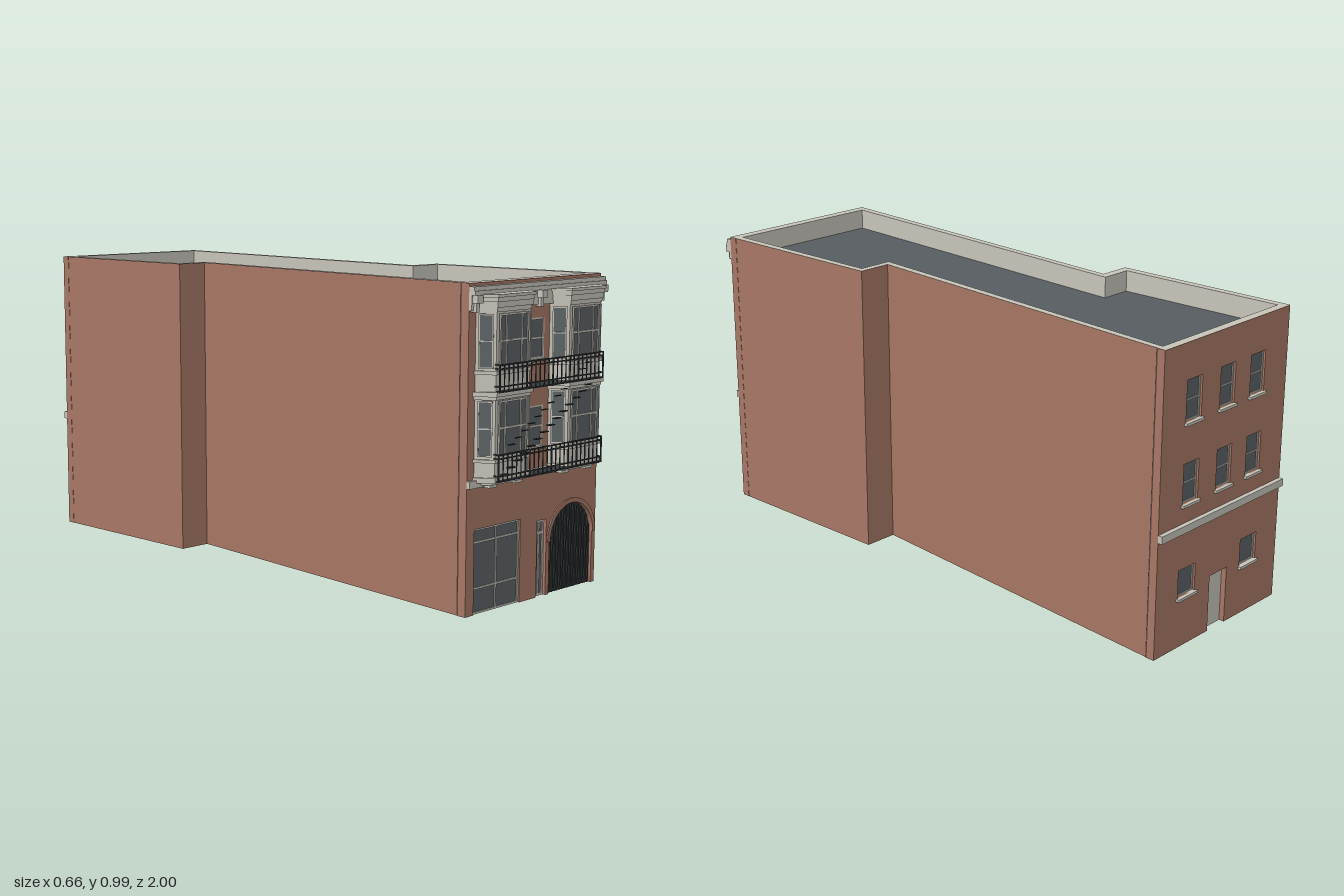
import * as THREE from 'three';

const mat = (name, color, side = THREE.FrontSide) => {
  const m = new THREE.MeshStandardMaterial({ color, side });
  m.name = name;
  return m;
};

export function createModel() {
  const brick = mat('brick', 0xa67664);
  const trim = mat('pale stone', 0xc6c3b9);
  const liner = mat('plaster', 0xc6c3b9, THREE.DoubleSide);
  const glass = mat('glass', 0x5b6164);
  const roofing = mat('roofing', 0x565c5f);
  const iron = mat('iron', 0x34383a);

  const model = new THREE.Group();
  model.name = 'rowBuilding';
  const group = (name, parent = model) => {
    const g = new THREE.Group();
    g.name = name;
    parent.add(g);
    return g;
  };
  const add = (name, geo, m, parent = model) => {
    const mesh = new THREE.Mesh(geo, m);
    mesh.name = name;
    parent.add(mesh);
    return mesh;
  };
  // Box given by its limits
  const box = (name, x0, x1, y0, y1, z0, z1, m, parent) => {
    const mesh = add(name, new THREE.BoxGeometry(x1 - x0, y1 - y0, z1 - z0), m, parent);
    mesh.position.set((x0 + x1) / 2, (y0 + y1) / 2, (z0 + z1) / 2);
    return mesh;
  };

  // Footprint corners (x, z): outside and inside of the walls
  const H = 0.99, ROOF = 0.92, FRONT = 0.935, BACK = -0.985;
  const outer = [[-0.303, FRONT], [0.33, FRONT], [0.318, 0.26], [0.2, 0.26],
    [0.295, BACK], [-0.33, BACK], [-0.318, -0.34], [-0.207, -0.34]];
  const inner = [[-0.272, 0.9], [0.301, 0.9], [0.294, 0.285], [0.172, 0.285],
    [0.27, -0.957], [-0.303, -0.957], [-0.29, -0.37], [-0.18, -0.37]];
  const toShape = (pts) => new THREE.Shape(pts.map(([x, z]) => new THREE.Vector2(x, -z)));

  // Vertical faces along a footprint, skipping some edges
  const strip = (pts, y0, y1, skip = []) => {
    const pos = [];
    pts.forEach(([ax, az], i) => {
      if (skip.includes(i)) return;
      const [bx, bz] = pts[(i + 1) % pts.length];
      pos.push(ax, y0, az, bx, y0, bz, bx, y1, bz, ax, y0, az, bx, y1, bz, ax, y1, az);
    });
    const g = new THREE.BufferGeometry();
    g.setAttribute('position', new THREE.Float32BufferAttribute(pos, 3));
    g.computeVertexNormals();
    return g;
  };

  // Shell, roof and parapet
  add('sideWalls', strip(outer, 0, H, [0, 4]), brick);
  add('innerWalls', strip(inner, 0, ROOF, [0, 4]), liner);
  add('parapetLining', strip(inner, ROOF, H), liner);
  const ring = toShape(outer);
  ring.holes.push(toShape(inner));
  add('parapetCap', new THREE.ShapeGeometry(ring).rotateX(-Math.PI / 2), trim).position.y = H;
  const sides = toShape(outer.slice(1, 5).concat(inner.slice(1, 5).reverse()));
  const others = toShape(outer.slice(5).concat([outer[0], inner[0]], inner.slice(5).reverse()));
  add('wallBase', new THREE.ShapeGeometry([sides, others]).rotateX(Math.PI / 2).scale(1, 1, -1), mat('brick base', 0xa67664, THREE.DoubleSide));
  const roofShape = toShape(inner);
  add('roof', new THREE.ShapeGeometry(roofShape).rotateX(-Math.PI / 2), roofing).position.y = ROOF;
  add('ceiling', new THREE.ShapeGeometry(roofShape).rotateX(-Math.PI / 2), liner).position.y = ROOF - 0.006;

  // Facade with openings at the ground (arched if asked) and window holes
  const facade = (name, x0, x1, z0, z1, doors, windows, lineZ) => {
    const s = new THREE.Shape();
    s.moveTo(x0, 0);
    for (const [a, b, h, arched] of doors) {
      s.lineTo(a, 0);
      s.lineTo(a, h);
      if (arched) s.absarc((a + b) / 2, h, (b - a) / 2, Math.PI, 0, true);
      else s.lineTo(b, h);
      s.lineTo(b, 0);
    }
    s.lineTo(x1, 0);
    s.lineTo(x1, H - 0.001);
    s.lineTo(x0, H - 0.001);
    for (const [a, b, c, d] of windows) {
      s.holes.push(new THREE.Path([[a, c], [a, d], [b, d], [b, c]].map((p) => new THREE.Vector2(...p))));
    }
    const geo = new THREE.ExtrudeGeometry(s, { depth: z1 - z0, bevelEnabled: false, curveSegments: 24 });
    add(name, geo, brick).position.z = z0;
    add(name + 'Lining', new THREE.ShapeGeometry(s, 24), liner).position.z = lineZ;
  };

  // Glass with frame bars; xs and ys are inner bar positions
  const glazing = (name, x0, x1, y0, y1, z, xs, ys, w = 0.006, parent = model) => {
    const g = group(name, parent);
    box('pane', x0, x1, y0, y1, z - 0.002, z + 0.002, glass, g);
    for (const x of [x0 + w / 2, ...xs, x1 - w / 2]) box('frameUpright', x - w / 2, x + w / 2, y0, y1, z - 0.005, z + 0.005, trim, g);
    for (const y of [y0 + w / 2, ...ys, y1 - w / 2]) box('frameRail', x0, x1, y - w / 2, y + w / 2, z - 0.0045, z + 0.0045, trim, g);
    return g;
  };

  // Street facade
  const midWins = [[-0.025, 0.049, 0.745, 0.87], [-0.025, 0.049, 0.475, 0.602]];
  const gate = { a: 0.094, b: 0.312, spring: 0.168 };
  const gx = (gate.a + gate.b) / 2, gr = (gate.b - gate.a) / 2;
  facade('frontWall', -0.303, 0.33, 0.905, FRONT,
    [[-0.266, -0.05, 0.26], [0.032, 0.078, 0.242], [gate.a, gate.b, gate.spring, true]], midWins, 0.903);
  glazing('shopWindow', -0.266, -0.05, 0, 0.26, 0.925, [-0.157], [0.078, 0.218]);
  glazing('frontDoor', 0.032, 0.078, 0, 0.242, 0.92, [0.055], [0.2], 0.007);
  for (const [a, b, c, d] of midWins) {
    glazing('middleWindow', a, b, c, d, 0.93, [], [(c + d) / 2]);
    box('middleSill', a - 0.004, b + 0.004, c - 0.008, c, 0.93, 0.943, trim);
  }

  // Arched gate
  const gateGroup = group('gate');
  for (let i = 0; i <= 16; i++) {
    const x = gate.a + 0.003 + (i * (gate.b - gate.a - 0.006)) / 16;
    const top = gate.spring + Math.sqrt(Math.max(0, gr * gr - (x - gx) ** 2));
    box('gateBar', x - 0.0035, x + 0.0035, 0, top, 0.912, 0.926, iron, gateGroup);
  }
  box('gateFootRail', gate.a, gate.b, 0.004, 0.011, 0.914, 0.924, iron, gateGroup);
  const arch = (r0, r1, depth) => {
    const s = new THREE.Shape();
    s.absarc(0, 0, r1, 0, Math.PI, false);
    s.absarc(0, 0, r0, Math.PI, 0, true);
    return new THREE.ExtrudeGeometry(s, { depth, bevelEnabled: false, curveSegments: 24 });
  };
  add('gateTopRail', arch(gr - 0.008, gr, 0.01), iron, gateGroup).position.set(gx, gate.spring, 0.914);
  add('archMoulding', arch(gr, gr + 0.014, 0.006), brick).position.set(gx, gate.spring, FRONT - 0.001);

  // Band and cornice
  box('frontBand', -0.303, 0.33, 0.387, 0.41, FRONT, 0.945, trim);
  box('corniceFrieze', -0.303, 0.33, 0.91, 0.955, FRONT, 0.945, trim);
  box('corniceShelf', -0.303, 0.33, 0.955, 0.968, FRONT, 0.958, trim);
  box('corniceCrown', -0.303, 0.33, 0.968, 0.98, FRONT, 0.954, trim);
  for (const x of [-0.287, 0.012, 0.317]) {
    box('corniceBracket', x - 0.012, x + 0.012, 0.932, 0.955, FRONT, 0.965, trim);
    box('corniceBracketFoot', x - 0.007, x + 0.007, 0.905, 0.932, FRONT, 0.955, trim);
  }

  // Two bay windows
  const HB = 0.115, HF = 0.078, D = 0.048;
  const prism = (name, y0, y1, e, m, parent) => {
    const s = toShape([[-HB - e, 0], [-HF - e * 0.6, D + e], [HF + e * 0.6, D + e], [HB + e, 0]]);
    const geo = new THREE.ExtrudeGeometry(s, { depth: y1 - y0, bevelEnabled: false }).rotateX(-Math.PI / 2);
    add(name, geo, m, parent).position.y = y0;
  };
  const faceAngle = Math.atan2(D, HB - HF);
  for (const x of [-0.157, 0.19]) {
    const bay = group('bayWindow');
    bay.position.set(x, 0, FRONT);
    prism('bayBody', 0.41, 0.95, 0, trim, bay);
    for (const [y0, y1, e] of [[0.393, 0.402, -0.012], [0.402, 0.418, 0.006], [0.462, 0.472, 0.006], [0.648, 0.658, 0.005],
      [0.658, 0.672, 0.011], [0.722, 0.734, 0.006], [0.905, 0.918, 0.003], [0.918, 0.935, 0.006], [0.935, 0.948, 0.01], [0.948, 0.957, 0.014]]) {
      prism('bayMoulding', y0, y1, e, trim, bay);
    }
    for (const sx of [-1, 1]) {
      box('bayFoot', sx * 0.06 - 0.017, sx * 0.06 + 0.017, 0.384, 0.395, 0, 0.03, trim, bay);
    }
    for (const [y0, y1] of [[0.48, 0.645], [0.74, 0.9]]) {
      const mid = (y0 + y1) / 2;
      glazing('bayFrontWindow', -0.066, 0.066, y0, y1, D, [-0.036, 0.036], [mid], 0.006, bay);
      for (const sx of [-1, 1]) {
        const side = glazing('baySideWindow', -0.022, 0.022, y0, y1, 0, [], [mid], 0.004, bay);
        side.position.set((sx * (HB + HF)) / 2, 0, D / 2);
        side.rotation.y = sx * faceAngle;
      }
    }
  }

  // Fire escape: two balconies and a stair
  const escape = group('fireEscape');
  const L = -0.235, R = 0.265;
  for (const y of [0.405, 0.67]) {
    box('balconyFloor', L, R, y, y + 0.004, 0.94, 0.999, iron, escape);
    for (const h of [0.018, 0.07, 0.082]) {
      box('railing', L, R, y + h - 0.002, y + h + 0.002, 0.996, 1, iron, escape);
      for (const x of [L, R]) box('railingEnd', x - 0.002, x + 0.002, y + h - 0.002, y + h + 0.002, FRONT, 1, iron, escape);
    }
    for (let i = 0; i <= 24; i++) {
      const x = L + ((R - L) * i) / 24, w = i % 6 ? 0.0012 : 0.0025;
      box('baluster', x - w, x + w, y, y + 0.084, 0.9965, 0.9995, iron, escape);
    }
  }
  for (let i = 0; i < 14; i++) {
    const x = -0.197 + i * 0.0307, y = 0.424 + i * 0.0178;
    box('stairTread', x - 0.015, x + 0.015, y - 0.0015, y + 0.0015, 0.984, 0.996, iron, escape);
    if (i) box('stairRail', x - 0.015, x + 0.015, y + 0.067, y + 0.07, 0.989, 0.993, iron, escape);
  }

  // Rear facade
  const rearX = [0.145, -0.02, -0.174];
  const rear = [];
  for (const x of rearX) for (const [a, b] of [[0.74, 0.872], [0.478, 0.608]]) rear.push([x - 0.037, x + 0.037, a, b]);
  for (const x of [rearX[0], rearX[2]]) rear.push([x - 0.042, x + 0.042, 0.17, 0.262]);
  facade('backWall', -0.33, 0.295, BACK, -0.957, [[-0.063, 0.025, 0.19]], rear, -0.955);
  for (const [a, b, c, d] of rear) {
    glazing('rearWindow', a, b, c, d, BACK + 0.012, [], d - c > 0.1 ? [(c + d) / 2] : [], 0.005);
    box('rearSill', a - 0.006, b + 0.006, c - 0.009, c, BACK - 0.01, BACK + 0.01, trim);
  }
  box('rearDoor', -0.063, 0.025, 0, 0.19, BACK + 0.018, BACK + 0.025, trim);
  box('rearBand', -0.33, 0.295, 0.39, 0.415, -1, BACK, trim);

  return model;
}
